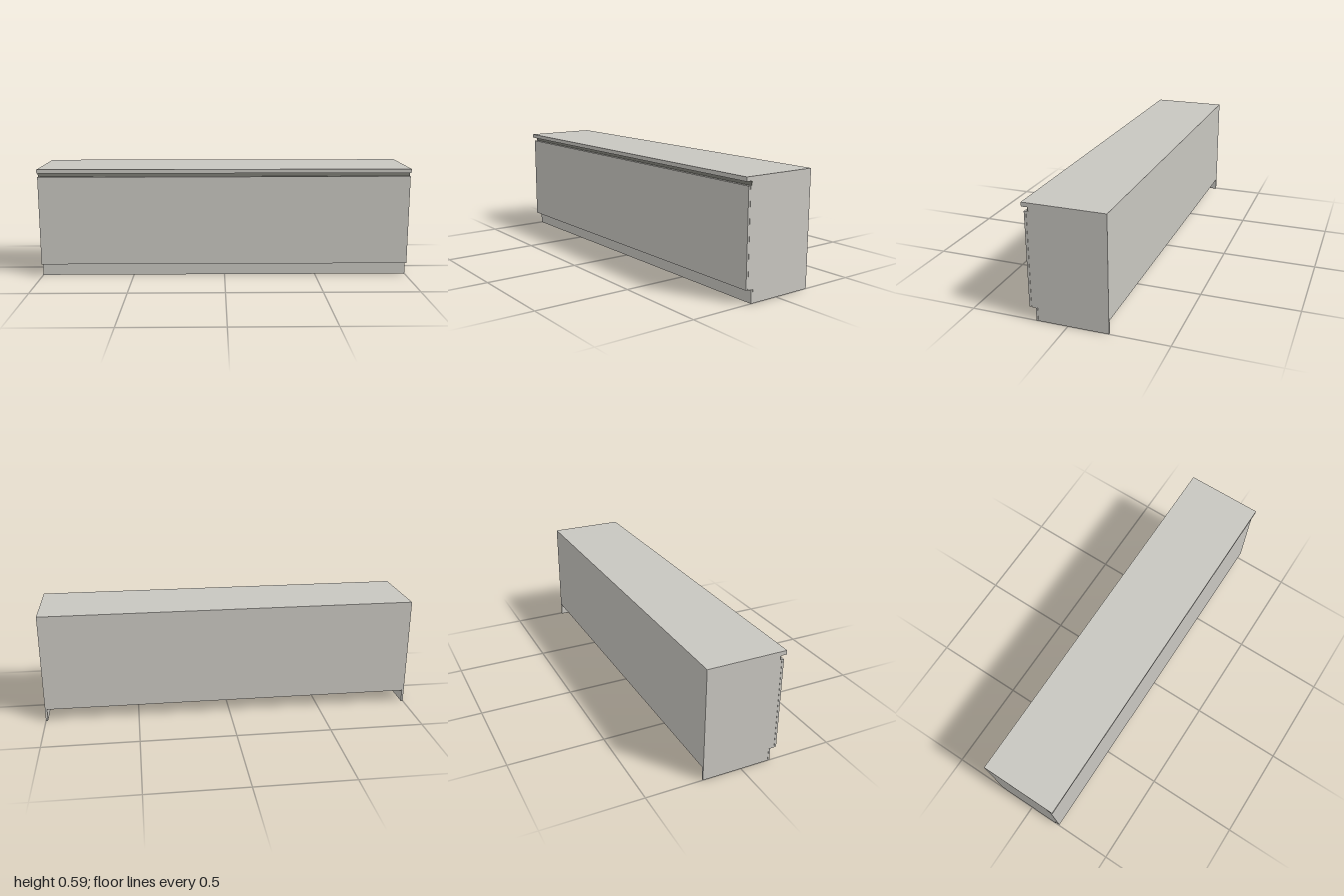
import * as THREE from 'three';

export function createModel() {
  const model = new THREE.Group();
  model.name = 'baseCabinet';
  const body = new THREE.MeshStandardMaterial({ name: 'warmGrey', color: 0xc8c6c0 });
  const dark = new THREE.MeshStandardMaterial({ name: 'darkGrey', color: 0x7e7e76 });

  const add = (name, geometry, material = body) => {
    const mesh = new THREE.Mesh(geometry, material);
    mesh.name = name;
    model.add(mesh);
    return mesh;
  };

  // Box given by its limits on each axis
  const panel = (name, [x0, x1], [y0, y1], [z0, z1], material) => {
    const mesh = add(name, new THREE.BoxGeometry(x1 - x0, y1 - y0, z1 - z0), material);
    mesh.position.set((x0 + x1) / 2, (y0 + y1) / 2, (z0 + z1) / 2);
  };

  const T = 0.011; // board thickness
  const back = -0.205;
  const inner = [-1 + T, 1 - T];
  const full = [-1, 1];

  // Side panels, notched for the plinth and the grip channel
  const profile = new THREE.Shape([
    [back, 0], [0.151, 0], [0.151, 0.067], [0.182, 0.067],
    [0.182, 0.55], [0.171, 0.55], [0.171, 0.571], [back, 0.571],
  ].map(([z, y]) => new THREE.Vector2(-z, y)));
  for (const [name, x] of [['leftSide', 1 - T], ['rightSide', -1]]) {
    const g = new THREE.ExtrudeGeometry(profile, { depth: T, bevelEnabled: false });
    g.rotateY(Math.PI / 2); // shape x becomes -z, depth becomes +x
    g.translate(x, 0, 0);
    add(name, g);
  }

  // Carcass boards between the sides
  panel('bottomBoard', inner, [0.067, 0.067 + T], [back, 0.182]);
  panel('backBoard', inner, [0.067 + T, 0.571], [back, back + T]);

  // Front, plinth, grip channel and worktop
  panel('frontPanel', full, [0.069, 0.55], [0.183, 0.194]);
  panel('plinth', full, [0, 0.066], [0.152, 0.161]);
  panel('gripChannel', full, [0.55, 0.571], [0.171, 0.177], dark);
  panel('gripLedge', inner, [0.545, 0.55], [0.16, 0.182], dark);
  panel('worktop', full, [0.571, 0.592], [back, 0.207]);

  return model;
}
